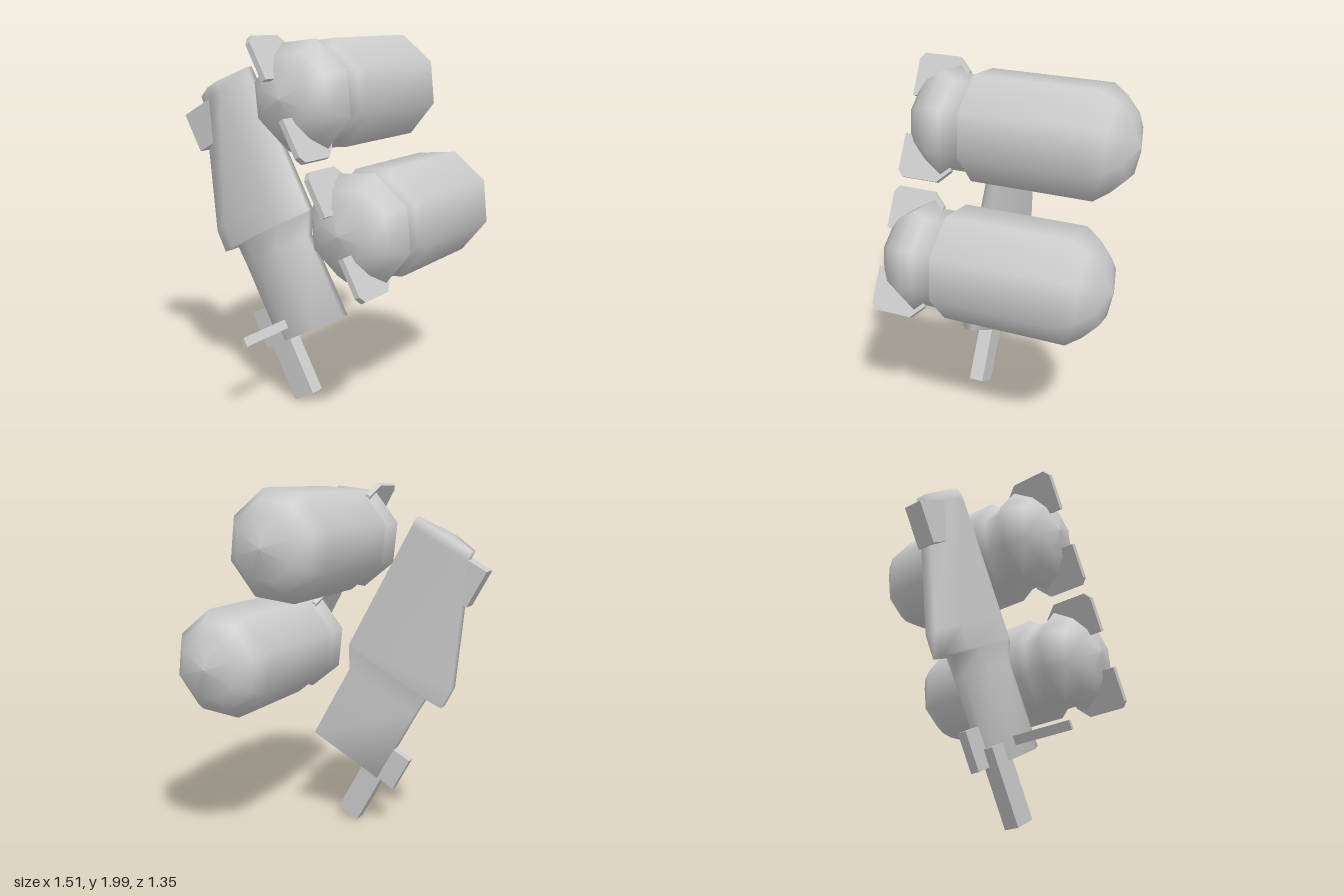
import * as THREE from 'three';

const material = new THREE.MeshStandardMaterial({ color: 0xcccccc });

function mesh(name, geometry) {
  const m = new THREE.Mesh(geometry, material);
  m.name = name;
  return m;
}

// Box given by its limits on each axis
function box(name, [x0, x1], [y0, y1], [z0, z1]) {
  const g = new THREE.BoxGeometry(x1 - x0, y1 - y0, z1 - z0);
  g.translate((x0 + x1) / 2, (y0 + y1) / 2, (z0 + z1) / 2);
  return mesh(name, g);
}

// Flat-backed plate with a raised front, lofted through rows of [height, left, right]
function plate() {
  const rows = [
    [0.326, 0.028, 0.498], [0.8, 0.025, 0.493], [0.912, 0.02, 0.56], [0.922, -0.087, 0.566],
    [1.05, -0.084, 0.566], [1.71, 0.198, 0.566], [1.766, 0.202, 0.566],
  ];
  const positions = [], index = [], n = 6;
  for (const [y, l, r] of rows) {
    const section = [[l, 0.197], [l, 0.26], [l + 0.13, 0.33], [r - 0.16, 0.33], [r, 0.24], [r, 0.197]];
    for (const [x, z] of section) positions.push(x, y, z);
  }
  for (let j = 0; j < rows.length - 1; j++) {
    for (let i = 0; i < n; i++) {
      const a = j * n + i, b = j * n + (i + 1) % n;
      index.push(a, b, b + n, a, b + n, a + n);
    }
  }
  const top = (rows.length - 1) * n;
  for (let i = 1; i < n - 1; i++) {
    index.push(0, i + 1, i, top, top + i, top + i + 1);
  }
  const g = new THREE.BufferGeometry();
  g.setAttribute('position', new THREE.Float32BufferAttribute(positions, 3));
  g.setIndex(index);
  g.computeVertexNormals();
  return mesh('plate', g);
}

// Eight-sided tank along z with a groove behind the front dome and two fins
function tank() {
  const group = new THREE.Group();
  const profile = [
    [0, -0.675], [0.17, -0.632], [0.245, -0.56], [0.301, -0.48], [0.301, 0.19], [0.258, 0.215],
    [0.258, 0.32], [0.301, 0.365], [0.235, 0.47], [0.15, 0.535], [0, 0.567],
  ].map(([r, z]) => new THREE.Vector2(r, z));
  const shell = new THREE.LatheGeometry(profile, 8);
  shell.rotateX(Math.PI / 2);
  group.add(mesh('tankShell', shell));

  const outline = [
    [0.31, 0.105], [0.615, 0.105], [0.615, 0.305], [0.585, 0.338], [0.38, 0.338], [0.31, 0.27],
  ].map(([z, r]) => new THREE.Vector2(z, r));
  const fin = new THREE.ExtrudeGeometry(new THREE.Shape(outline), { depth: 0.03, bevelEnabled: false });
  fin.translate(0, 0, -0.015);
  fin.rotateY(-Math.PI / 2);
  for (const turn of [0, Math.PI]) {
    const m = mesh('tankFin', fin);
    m.rotation.z = turn;
    group.add(m);
  }
  return group;
}

export function createModel() {
  const model = new THREE.Group();
  model.name = 'tankAssembly';

  // Everything is built upright, then leaned over
  const frame = new THREE.Group();
  frame.name = 'leaningFrame';
  frame.rotation.z = THREE.MathUtils.degToRad(28.8);
  model.add(frame);

  frame.add(plate());
  frame.add(box('sideBlock', [0.077, 0.3], [1.49, 1.715], [0.2, 0.305]));
  frame.add(box('footBlock', [-0.086, 0.06], [0.327, 0.537], [0.2, 0.25]));
  frame.add(box('lowerPost', [0.009, 0.146], [0.003, 0.42], [0.22, 0.303]));
  frame.add(box('frontPeg', [0.171, 0.189], [0.385, 0.435], [0.3, 0.675]));

  [['upperTank', 1.43], ['lowerTank', 0.704]].forEach(([name, y]) => {
    const t = tank();
    t.name = name;
    t.position.set(0.917, y, 0);
    frame.add(t);
  });

  return model;
}
